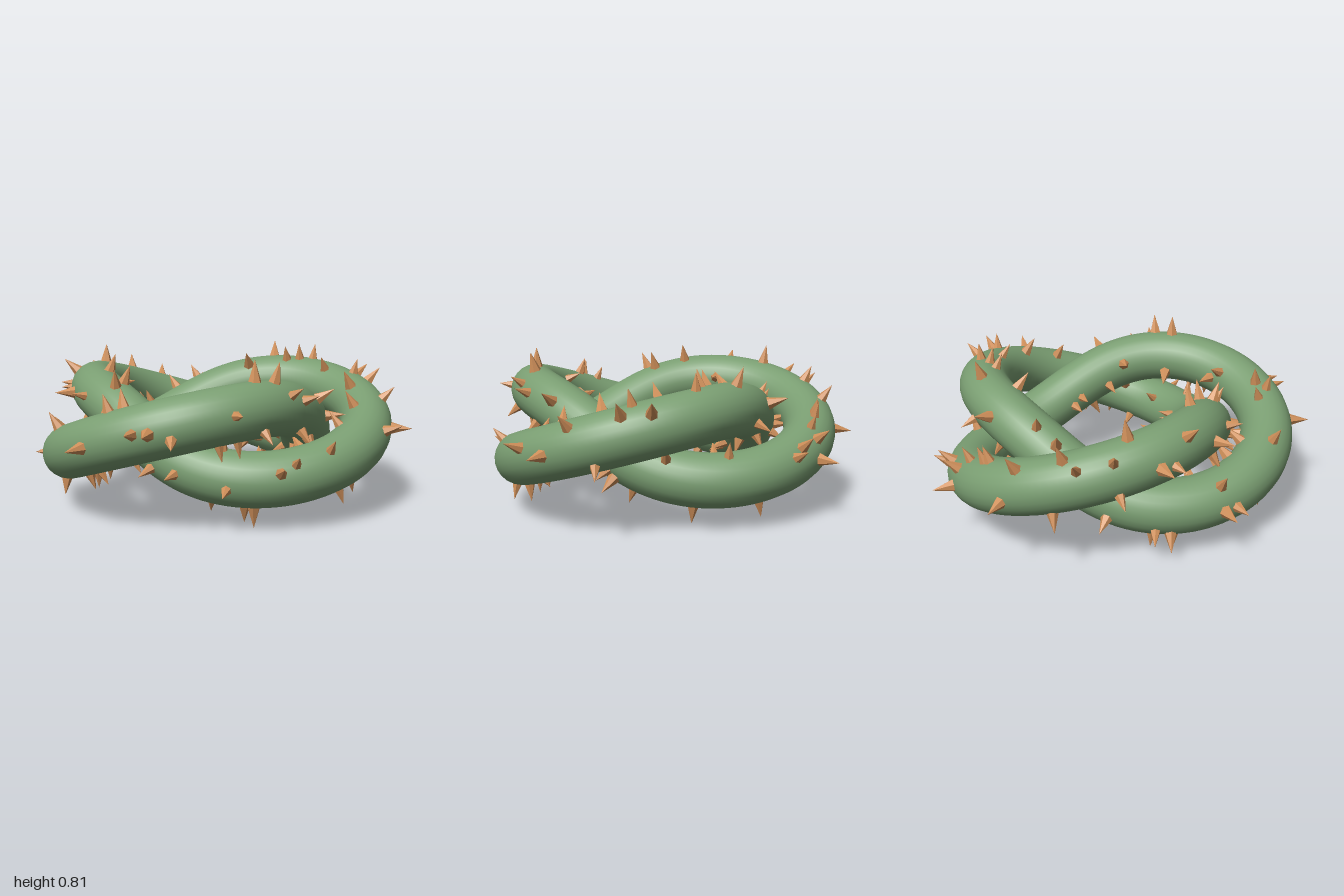
import * as THREE from 'three';

// Trefoil centre line: three lobes, one pointing to +x
const R = 0.655, SWING = 0.163, RISE = 0.167, TUBE = 0.136;
const CENTRE = new THREE.Vector3(-0.07, 0.405, 0);

class Trefoil extends THREE.Curve {
  getPoint(u, target = new THREE.Vector3()) {
    const t = u * Math.PI * 2;
    const r = R + SWING * Math.cos(3 * t);
    return target.set(r * Math.cos(2 * t), RISE * Math.sin(3 * t), -r * Math.sin(2 * t)).add(CENTRE);
  }
}

function seeded(seed) {
  return () => {
    seed = (seed * 16807) % 2147483647;
    return seed / 2147483647;
  };
}

export function createModel() {
  const model = new THREE.Group();
  const curve = new Trefoil();
  const green = new THREE.MeshStandardMaterial({ color: 0x7a9e72 });
  const orange = new THREE.MeshStandardMaterial({ color: 0xd0905a, flatShading: true });

  // Knotted stem
  const stem = new THREE.Mesh(new THREE.TubeGeometry(curve, 260, TUBE, 24, true), green);
  stem.name = 'knottedStem';
  model.add(stem);

  // Thorns: six-sided cones standing on the stem surface
  const thorns = new THREE.Group();
  thorns.name = 'thorns';
  model.add(thorns);
  const thornShape = new THREE.ConeGeometry(0.034, 0.11, 6).translate(0, 0.05, 0);
  const up = new THREE.Vector3(0, 1, 0);

  // angle 0 faces away from the knot's axis, a quarter turn faces down
  function addThorn(u, angle, size) {
    const p = curve.getPoint(u);
    const tangent = curve.getPoint(u + 0.0005).sub(curve.getPoint(u - 0.0005)).normalize();
    const outward = p.clone().sub(CENTRE).setY(0);
    outward.addScaledVector(tangent, -outward.dot(tangent)).normalize();
    const side = tangent.clone().cross(outward);
    const normal = outward.multiplyScalar(Math.cos(angle)).addScaledVector(side, Math.sin(angle));
    const thorn = new THREE.Mesh(thornShape, orange);
    thorn.name = 'thorn';
    thorn.position.copy(p).addScaledVector(normal, TUBE);
    thorn.quaternion.setFromUnitVectors(up, normal);
    thorn.scale.setScalar(size);
    thorns.add(thorn);
  }

  // Scattered thorns
  const random = seeded(4711);
  const COUNT = 142;
  for (let i = 0; i < COUNT; i++) {
    addThorn((i + random()) / COUNT, random() * Math.PI * 2, 0.72 + random() * 0.26);
  }

  // Thorns at the extremes: [degrees along the knot, degrees around the stem]
  const extremes = [[0, 0], [97.5, 0], [131.5, 0], [228.5, 0], [262.5, 0], [90, 90], [330, 90], [150, -90]];
  for (const [along, around] of extremes) {
    addThorn(along / 360, THREE.MathUtils.degToRad(around), 0.98);
  }
  return model;
}
